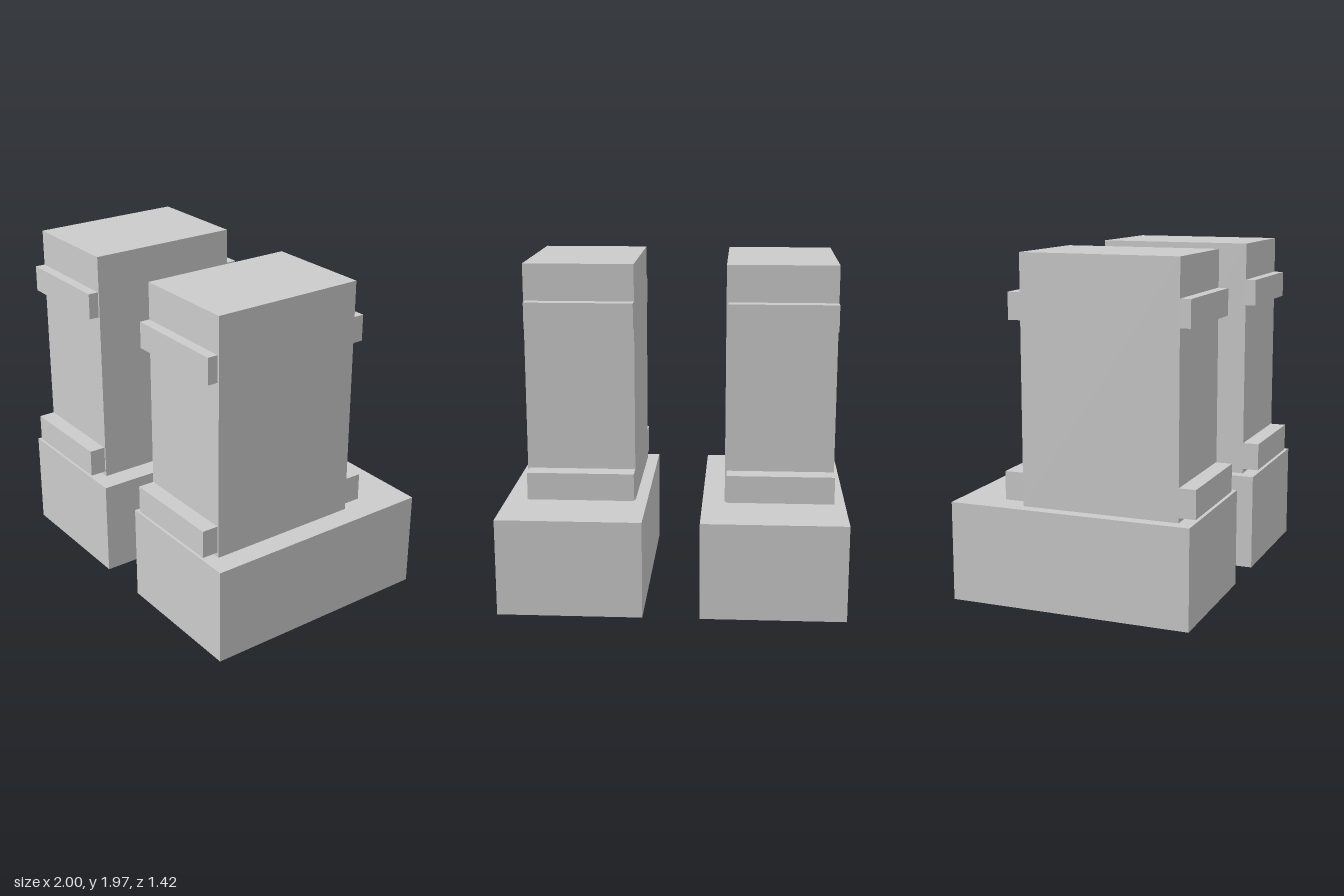
import * as THREE from 'three';

const material = new THREE.MeshStandardMaterial({ color: 0xcccccc, flatShading: true });

// Box given by its min and max on each axis
function box(name, [x0, x1], [y0, y1], [z0, z1]) {
  const mesh = new THREE.Mesh(new THREE.BoxGeometry(x1 - x0, y1 - y0, z1 - z0), material);
  mesh.position.set((x0 + x1) / 2, (y0 + y1) / 2, (z0 + z1) / 2);
  mesh.name = name;
  return mesh;
}

// One pillar on its plinth; x is measured from the plinth's -x side
function createPillar() {
  const pillar = new THREE.Group();
  const back = -0.297, front = 0.613;
  pillar.add(box('plinth', [0, 0.837], [0, 0.57], [-0.71, 0.698]));
  pillar.add(box('shaft', [0.07, 0.706], [0.57, 1.967], [back, front]));

  // Bands stand out from the front and back faces only
  const bands = [
    { name: 'lowerBand', y: [0.598, 0.76], depth: 0.108 - 0.012 },
    { name: 'upperBand', y: [1.602, 1.754], depth: 0.065 - 0.005 },
  ];
  bands[0].back = 0.108;
  bands[1].back = 0.073;
  for (const band of bands) {
    pillar.add(box(band.name + 'Front', [0.07, 0.695], band.y, [front, front + band.depth]));
    pillar.add(box(band.name + 'Back', [0.07, 0.695], band.y, [back - band.back, back]));
  }
  return pillar;
}

export function createModel() {
  const model = new THREE.Group();
  model.name = 'pillarPair';
  // The two pillars are identical copies, not mirrored
  [['rightPillar', -1], ['leftPillar', 0.163]].forEach(([name, x]) => {
    const pillar = createPillar();
    pillar.name = name;
    pillar.position.x = x;
    model.add(pillar);
  });
  return model;
}
